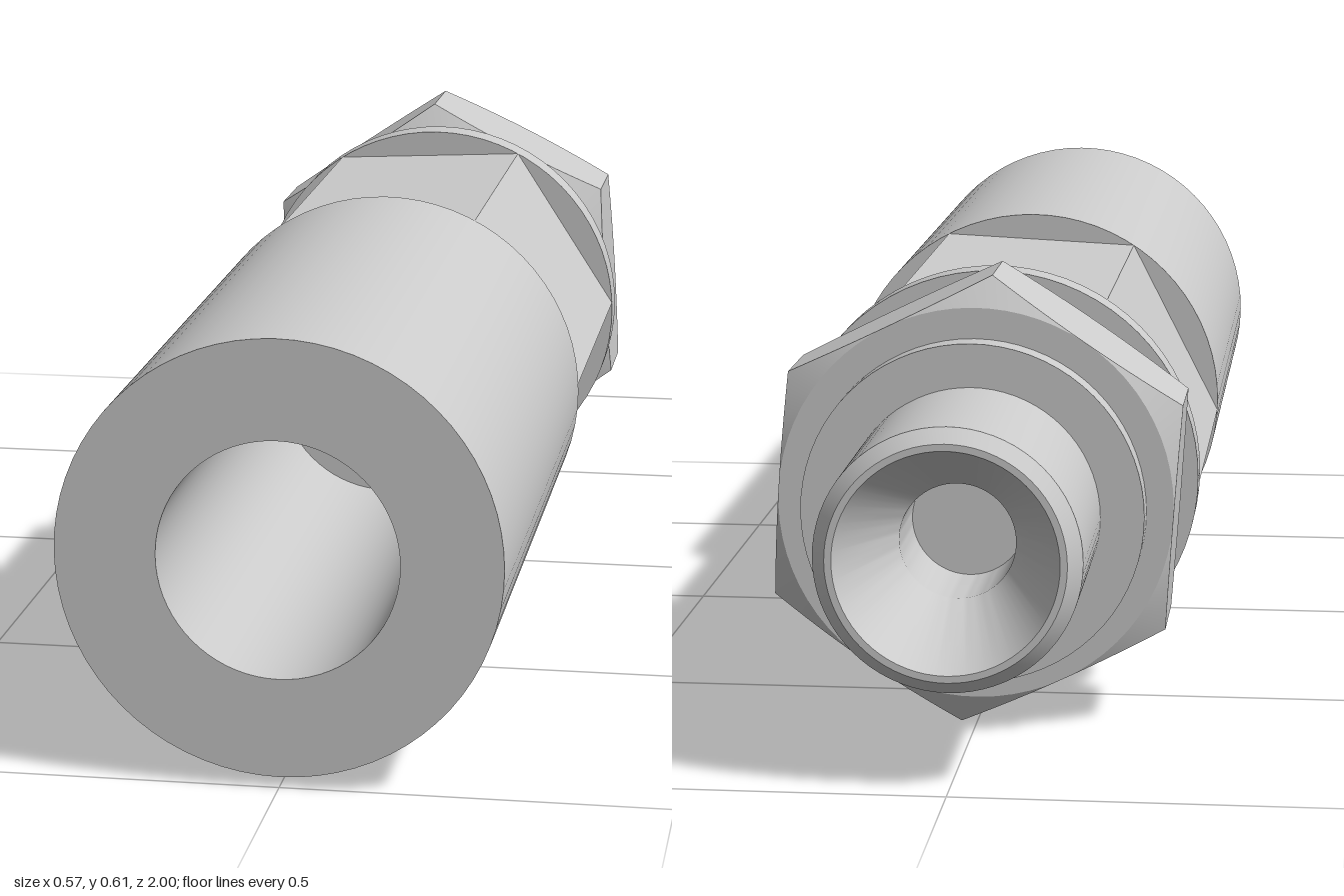
import * as THREE from 'three';
import { toCreasedNormals } from 'three/addons/utils/BufferGeometryUtils.js';

const AXIS_Y = 0.3;

export function createModel() {
  const model = new THREE.Group();
  model.name = 'hoseFitting';
  const material = new THREE.MeshStandardMaterial({ color: 0xcccccc });

  function add(name, geometry, y = AXIS_Y) {
    const mesh = new THREE.Mesh(toCreasedNormals(geometry, 0.45), material);
    mesh.name = name;
    mesh.position.y = y;
    model.add(mesh);
    return mesh;
  }

  // Profiles are [radius, z] pairs turned about the z axis
  const turned = (profile, segments = 72) =>
    new THREE.LatheGeometry(profile.map(([r, z]) => new THREE.Vector2(r, z)), segments);

  // Front sleeve with a blind bore
  add('sleeve', turned([
    [0, 0.12], [0.285, 0.12], [0.285, 1], [0.155, 1], [0.155, 0.14], [0, 0.14],
  ]).rotateX(Math.PI / 2));

  // Hexagonal wrench section, corners flush with the sleeve
  const hex = new THREE.CylinderGeometry(0.285, 0.285, 0.525, 6, 1, false, THREE.MathUtils.degToRad(32.8));
  hex.rotateX(Math.PI / 2).translate(0, 0, -0.1425);
  add('hexBody', hex);

  // Collar behind the wrench section
  add('collar', turned([
    [0, -0.455], [0.285, -0.455], [0.285, -0.405], [0, -0.405],
  ]).rotateX(Math.PI / 2));

  // Shoulder and chamfered spigot with a conical seat and small hole
  add('spigot', turned([
    [0, -0.74], [0.075, -0.74], [0.075, -0.87], [0.143, -1], [0.152, -1],
    [0.17, -0.98], [0.17, -0.715], [0.228, -0.715], [0.228, -0.45], [0, -0.45],
  ]).rotateX(Math.PI / 2));

  // Nut: a turned blank whose outer rings follow a hexagon with conical chamfers
  const corner = 0.305, flat = corner * Math.cos(Math.PI / 6);
  const back = -0.675, front = -0.5, segments = 72, rows = 6;
  const nut = turned([
    [0.2, back], [flat, back], [corner, back], [corner, front], [flat, front], [0.2, front],
  ], segments);
  const pos = nut.attributes.position;
  for (let i = 0; i <= segments; i++) {
    const angle = (i / segments) * Math.PI * 2;
    const fromMid = (angle % (Math.PI / 3)) - Math.PI / 6;
    const r = flat / Math.cos(fromMid);
    const depth = (r - flat) * 0.58;
    const x = r * Math.sin(angle), z = r * Math.cos(angle);
    pos.setXYZ(i * rows + 2, x, back + depth, z);
    pos.setXYZ(i * rows + 3, x, front - depth, z);
  }
  nut.rotateX(Math.PI / 2).rotateZ(THREE.MathUtils.degToRad(4));
  add('nut', nut, 0.305);

  return model;
}
